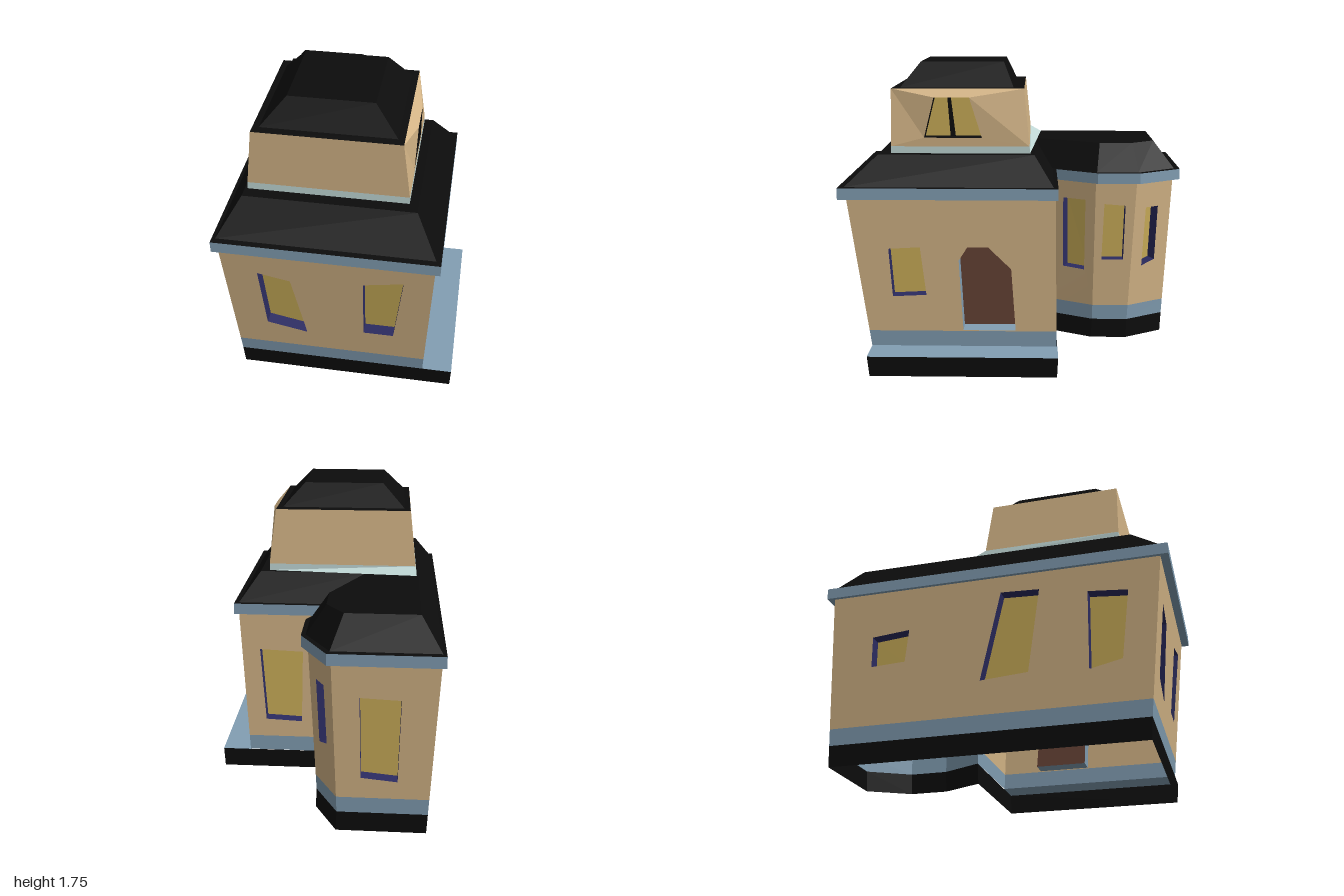
import * as THREE from 'three';

const mat = (name, color) => {
  const m = new THREE.MeshStandardMaterial({ color, side: THREE.DoubleSide });
  m.name = name;
  return m;
};

export function createModel() {
  const group = new THREE.Group();
  const tan = mat('wall tan', 0xd4b587), black = mat('roof black', 0x0c0c0c);
  const blue = mat('trim blue', 0x829eb3), pale = mat('pale trim', 0xbfd6d4);
  const yellow = mat('window yellow', 0xcdb05a), navy = mat('window frame navy', 0x2b2b60);
  const brown = mat('door brown', 0x684437);

  const add = (name, geo, material, parent = group) => {
    const m = new THREE.Mesh(geo, material);
    m.name = name;
    parent.add(m);
    return m;
  };

  // Flat-shaded geometry from convex polygons, each a list of [x, y, z]
  const facesGeo = (polys) => {
    const pos = [];
    for (const p of polys)
      for (let i = 1; i < p.length - 1; i++) pos.push(...p[0], ...p[i], ...p[i + 1]);
    const g = new THREE.BufferGeometry();
    g.setAttribute('position', new THREE.Float32BufferAttribute(pos, 3));
    g.computeVertexNormals();
    return g;
  };

  // Ring of faces joining two plan loops of [x, z] at heights ya and yb
  const band = (name, a, ya, b, yb, material) => add(name, facesGeo(a.map((p, i) => {
    const j = (i + 1) % a.length;
    return [[p[0], ya, p[1]], [a[j][0], ya, a[j][1]], [b[j][0], yb, b[j][1]], [b[i][0], yb, b[i][1]]];
  })), material);

  const cap = (name, loop, y, material) => {
    const s = new THREE.Shape(loop.map(([x, z]) => new THREE.Vector2(x, -z)));
    return add(name, new THREE.ShapeGeometry(s).rotateX(-Math.PI / 2).translate(0, y, 0), material);
  };

  const mix = (a, b, t) => a + (b - a) * t;
  const mixLoop = (a, b, t) => a.map((p, i) => [mix(p[0], b[i][0], t), mix(p[1], b[i][1], t)]);

  // Recess behind an opening: reveal faces and a pane, pushed in by [dx, dz]
  const recess = (name, pts, [dx, dz], pane, reveal) => {
    const g = new THREE.Group();
    g.name = name;
    const back = pts.map(([x, y, z]) => [x + dx, y, z + dz]);
    add('reveal', facesGeo(pts.map((p, i) => {
      const j = (i + 1) % pts.length;
      return [p, pts[j], back[j], back[i]];
    })), reveal, g);
    add('pane', facesGeo([back]), pane, g);
    group.add(g);
  };

  // Wall between heights y0 and y1 with openings given as [along, y] on axis 0 (x) or 1 (z)
  const wall = (name, p0, p1, q0, q1, y0, y1, axis, openings) => {
    const at = (u, t) => [mix(mix(p0[0], p1[0], u), mix(q0[0], q1[0], u), t), mix(y0, y1, t),
      mix(mix(p0[1], p1[1], u), mix(q0[1], q1[1], u), t)];
    const shape = new THREE.Shape([[0, 0], [1, 0], [1, 1], [0, 1]].map((v) => new THREE.Vector2(...v)));
    const len = Math.hypot(p1[0] - p0[0], p1[1] - p0[1]);
    const inward = [(p1[1] - p0[1]) / len, -(p1[0] - p0[0]) / len];
    for (const o of openings) {
      const uv = o.pts.map(([c, y]) => {
        const t = (y - y0) / (y1 - y0);
        const lo = mix(p0[axis], q0[axis], t), hi = mix(p1[axis], q1[axis], t);
        return new THREE.Vector2((c - lo) / (hi - lo), t);
      });
      shape.holes.push(new THREE.Path(uv));
      const d = o.door ? 0.1 : 0.07;
      recess(o.door ? 'door' : 'window', uv.map((v) => at(v.x, v.y)), inward.map((n) => n * d),
        o.door ? brown : yellow, o.door ? blue : navy);
    }
    const g = new THREE.ShapeGeometry(shape), pos = g.attributes.position;
    for (let i = 0; i < pos.count; i++) pos.setXYZ(i, ...at(pos.getX(i), pos.getY(i)));
    g.computeVertexNormals();
    add(name, g, tan);
  };

  // Plan loops, starting at the front corner on -x
  const low = [[-0.6, 0.85], [0.485, 0.85], [0.485, -0.235], [-0.08, -0.235],
    [0.03, -0.47], [0.03, -0.69], [-0.1, -0.925], [-0.6, -0.925]];
  const high = [[-0.64, 0.955], [0.53, 0.955], [0.53, -0.22], [-0.055, -0.22],
    [0.07, -0.475], [0.07, -0.725], [-0.07, -0.96], [-0.64, -0.96]];
  const eave = [[-0.66, 1], [0.557, 1], [0.557, -0.235], [-0.025, -0.235],
    [0.105, -0.485], [0.105, -0.74], [-0.05, -1], [-0.66, -1]];
  const roofLow = [[-0.64, 0.965], [0.53, 0.965], [0.53, -0.21], [-0.055, -0.21],
    [0.08, -0.48], [0.08, -0.73], [-0.065, -0.965], [-0.64, -0.965]];
  const roofTop = [[-0.53, 0.79], [0.41, 0.79], [0.41, -0.1], [-0.22, -0.1],
    [-0.03, -0.5], [-0.03, -0.7], [-0.13, -0.84], [-0.53, -0.84]];

  // Foundation with the porch slab on the +x side
  const bay = low.slice(3);
  const footTop = [[-0.6, 0.85], [0.655, 0.85], [0.655, -0.24], ...bay];
  const foot = [[-0.595, 0.84], [0.65, 0.84], [0.65, -0.235], ...bay.map(([x, z]) => [x + 0.005, z + 0.005])];
  band('foundation', foot, 0, footTop, 0.12, black);
  cap('porchFloor', [[0.485, 0.85], [0.655, 0.85], [0.655, -0.24], [0.485, -0.24]], 0.12, blue);

  // Plinth and flared walls
  const mid = mixLoop(low, high, 0.105);
  band('plinth', low, 0.12, mid, 0.215, blue);
  const sides = [
    ['frontWall', 0, [
      { pts: [[-0.44, 0.83], [-0.26, 0.79], [-0.19, 0.35], [-0.42, 0.405]] },
      { pts: [[0.145, 0.825], [0.365, 0.87], [0.31, 0.405], [0.14, 0.405]] }]],
    ['doorWall', 1, [
      { pts: [[0.73, 0.72], [0.55, 0.73], [0.52, 0.44], [0.715, 0.43]] },
      { door: true, pts: [[0.31, 0.22], [0.33, 0.65], [0.28, 0.73], [0.16, 0.73], [0.03, 0.6], [0.005, 0.22]] }]],
    ['innerBackWall', 0, [{ pts: [[0.41, 0.79], [0.15, 0.78], [0.16, 0.32], [0.38, 0.33]] }]],
    ['bayFrontWall', 1, [{ pts: [[-0.28, 0.9], [-0.415, 0.9], [-0.415, 0.445], [-0.285, 0.45]] }]],
    ['bayMiddleWall', 1, [{ pts: [[-0.53, 0.88], [-0.66, 0.87], [-0.655, 0.52], [-0.52, 0.52]] }]],
    ['bayBackWall', 1, [{ pts: [[-0.79, 0.85], [-0.87, 0.85], [-0.86, 0.5], [-0.775, 0.47]] }]],
    ['backWall', 0, [{ pts: [[-0.22, 0.82], [-0.44, 0.81], [-0.43, 0.32], [-0.23, 0.34]] }]],
    ['longWall', 1, [
      { pts: [[-0.7, 0.74], [-0.48, 0.76], [-0.5, 0.57], [-0.7, 0.56]] },
      { pts: [[0.06, 0.92], [0.28, 0.91], [0.21, 0.43], [-0.06, 0.41]] },
      { pts: [[0.55, 0.86], [0.77, 0.84], [0.72, 0.45], [0.54, 0.41]] }]],
  ];
  sides.forEach(([name, axis, openings], i) => {
    const j = (i + 1) % 8;
    wall(name, mid[i], mid[j], high[i], high[j], 0.215, 1.015, axis, openings);
  });

  // Eaves and lower roof
  band('eaveUnderside', high, 1.015, eave, 1.015, blue);
  band('eave', eave, 1.015, eave, 1.08, blue);
  band('roofLedge', eave, 1.08, roofLow, 1.081, black);
  band('roofSlope', roofLow, 1.081, roofTop, 1.245, black);
  cap('roofDeck', roofTop, 1.245, black);

  // Upper storey: pale trim and walls
  const t0 = [[-0.515, 0.722], [0.36, 0.722], [0.36, -0.075], [-0.52, -0.14]];
  const t1 = [[-0.513, 0.72], [0.36, 0.72], [0.36, -0.072], [-0.513, -0.072]];
  const t2 = [[-0.475, 0.718], [0.32, 0.718], [0.32, -0.04], [-0.475, -0.04]];
  band('upperTrim', t0, 1.245, t1, 1.285, pale);
  const up = (l, i, y) => [l[i][0], y, l[i][1]];
  const side = (i, j) => [up(t1, i, 1.285), up(t1, j, 1.285), up(t2, j, 1.61), up(t2, i, 1.61)];
  add('upperWalls', facesGeo([side(0, 1), side(2, 3), side(3, 0)]), tan);

  // Wall bulging out around the upper window
  const outer = side(1, 2);
  const hole = [[0.362, 1.335, 0.53], [0.362, 1.335, 0.2], [0.37, 1.565, 0.27], [0.37, 1.565, 0.47]];
  add('dormerWall', facesGeo(outer.map((p, i) => {
    const j = (i + 1) % 4;
    return [p, outer[j], hole[j], hole[i]];
  })), tan);
  recess('upperWindow', hole, [-0.08, 0], yellow, black);
  add('windowBar', facesGeo([[[0.287, 1.335, 0.385], [0.287, 1.335, 0.355],
    [0.295, 1.565, 0.38], [0.295, 1.565, 0.4]]]), black);

  // Upper roof
  const r0 = [[-0.44, 0.67], [0.285, 0.67], [0.285, 0.02], [-0.44, 0.02]];
  const r1 = [[-0.31, 0.565], [0.155, 0.565], [0.155, 0.08], [-0.31, 0.08]];
  band('upperRoofLedge', t2, 1.61, r0, 1.612, black);
  band('upperRoofSlope', r0, 1.612, r1, 1.75, black);
  cap('upperRoofDeck', r1, 1.75, black);

  return group;
}
